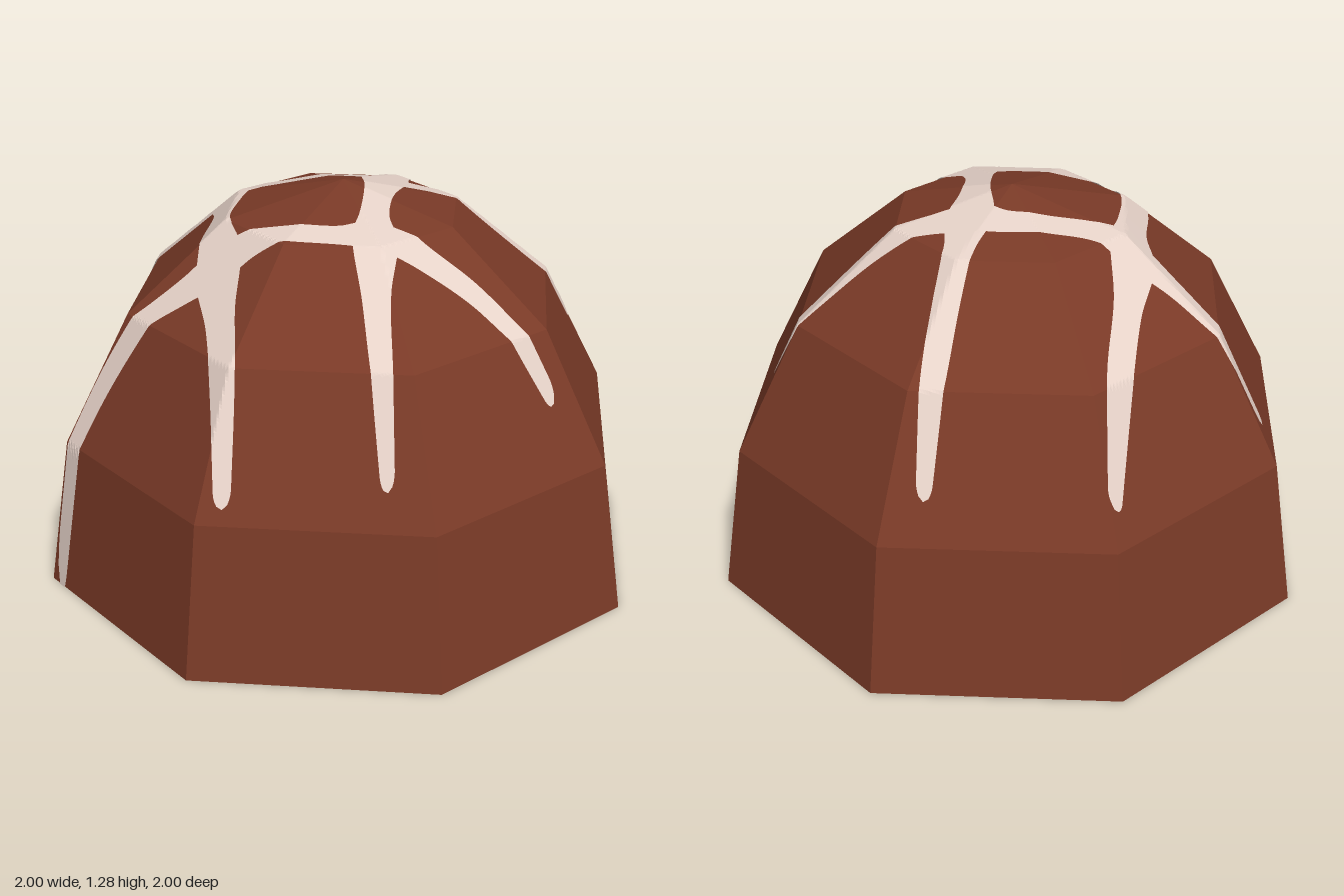
import * as THREE from 'three';

const HEIGHT = 1.283;
// Eight-sided dome profile: quarter ellipse in four steps, [radius, y] from rim to peak
const profile = [0, 1, 2, 3, 4].map(i => {
  const a = i * Math.PI / 8;
  return [i === 4 ? 0 : Math.cos(a), HEIGHT * Math.sin(a)];
});

// Point on the faceted dome above (x, z), lifted slightly outward
function drape(x, z, lift) {
  let r = 0;
  for (let k = 0; k < 8; k++) {
    const a = (k + 0.5) * Math.PI / 4;
    r = Math.max(r, (x * Math.cos(a) + z * Math.sin(a)) / Math.cos(Math.PI / 8));
  }
  if (r > 1) { x /= r; z /= r; r = 1; }
  let i = 0;
  while (i < 3 && r < profile[i + 1][0]) i++;
  const [r0, y0] = profile[i], [r1, y1] = profile[i + 1];
  const p = new THREE.Vector3(x, y0 + (y1 - y0) * (r0 - r) / (r0 - r1), z);
  const n = new THREE.Vector3(x, (r0 - r1) / (y1 - y0) * Math.max(r, 0.05), z).normalize();
  return p.addScaledVector(n, lift);
}

// Ribbon of icing along [x, z, width] points, laid over the dome
function icingGeometry(points) {
  const curve = new THREE.CatmullRomCurve3(points.map(([x, z, w]) => new THREE.Vector3(x, w, z)));
  const length = curve.getLength(), along = 300, across = 8;
  const pos = [], index = [];
  for (let i = 0; i <= along; i++) {
    const u = i / along, c = curve.getPointAt(u), t = curve.getTangentAt(u);
    const side = new THREE.Vector2(-t.z, t.x).normalize();
    // Rounded ends
    const e = Math.min(1, Math.min(u, 1 - u) * length / 0.025);
    const w = c.y * Math.sqrt(1 - (1 - e) ** 2);
    for (let j = 0; j <= across; j++) {
      const s = (j / across - 0.5) * w;
      pos.push(...drape(c.x + side.x * s, c.z + side.y * s, 0.004).toArray());
      if (i < along && j < across) {
        const a = i * (across + 1) + j, b = a + across + 1;
        index.push(a, a + 1, b, a + 1, b + 1, b);
      }
    }
  }
  const g = new THREE.BufferGeometry();
  g.setAttribute('position', new THREE.Float32BufferAttribute(pos, 3));
  g.setIndex(index);
  g.computeVertexNormals();
  return g;
}

export function createModel() {
  const model = new THREE.Group();
  const chocolate = new THREE.MeshStandardMaterial({ color: 0x7a3a27, flatShading: true });
  chocolate.name = 'chocolate';
  const icing = new THREE.MeshStandardMaterial({ color: 0xe8d4ca, flatShading: true, side: THREE.DoubleSide });
  icing.name = 'icing';

  // Dome with closed base
  const outline = [[0, 0], ...profile].map(([r, y]) => new THREE.Vector2(r, y));
  const dome = new THREE.Mesh(new THREE.LatheGeometry(outline, 8), chocolate);
  dome.name = 'dome';
  model.add(dome);

  // Four crossing icing lines, wider where they meet
  const lines = {
    backIcingLine: [
      [-0.635, -0.565, 0.06], [-0.5, -0.47, 0.075], [-0.39, -0.38, 0.095], [-0.28, -0.305, 0.13],
      [-0.16, -0.245, 0.095], [-0.03, -0.205, 0.09], [0.08, -0.16, 0.1], [0.18, -0.09, 0.14],
      [0.29, -0.05, 0.1], [0.45, -0.005, 0.075], [0.62, 0.015, 0.06], [0.785, 0.025, 0.045]],
    frontIcingLine: [
      [-0.985, 0.045, 0.06], [-0.8, 0.045, 0.07], [-0.64, 0.085, 0.075], [-0.54, 0.115, 0.1],
      [-0.44, 0.14, 0.14], [-0.33, 0.175, 0.1], [-0.2, 0.24, 0.09], [-0.1, 0.285, 0.095],
      [0, 0.315, 0.14], [0.13, 0.38, 0.09], [0.27, 0.45, 0.075], [0.38, 0.535, 0.065], [0.485, 0.61, 0.045]],
    rightIcingLine: [
      [-0.01, -0.86, 0.04], [-0.1, -0.66, 0.075], [-0.2, -0.47, 0.085], [-0.28, -0.31, 0.14],
      [-0.335, -0.18, 0.09], [-0.41, -0.02, 0.09], [-0.44, 0.14, 0.14], [-0.48, 0.32, 0.09],
      [-0.52, 0.5, 0.075], [-0.57, 0.665, 0.05]],
    leftIcingLine: [
      [0.505, -0.65, 0.045], [0.42, -0.5, 0.075], [0.33, -0.35, 0.085], [0.24, -0.21, 0.1],
      [0.17, -0.09, 0.15], [0.1, 0.06, 0.095], [0.04, 0.2, 0.09], [0, 0.325, 0.14],
      [-0.05, 0.5, 0.085], [-0.085, 0.66, 0.065], [-0.115, 0.82, 0.04]],
  };
  for (const [name, points] of Object.entries(lines)) {
    const mesh = new THREE.Mesh(icingGeometry(points), icing);
    mesh.name = name;
    model.add(mesh);
  }
  return model;
}
